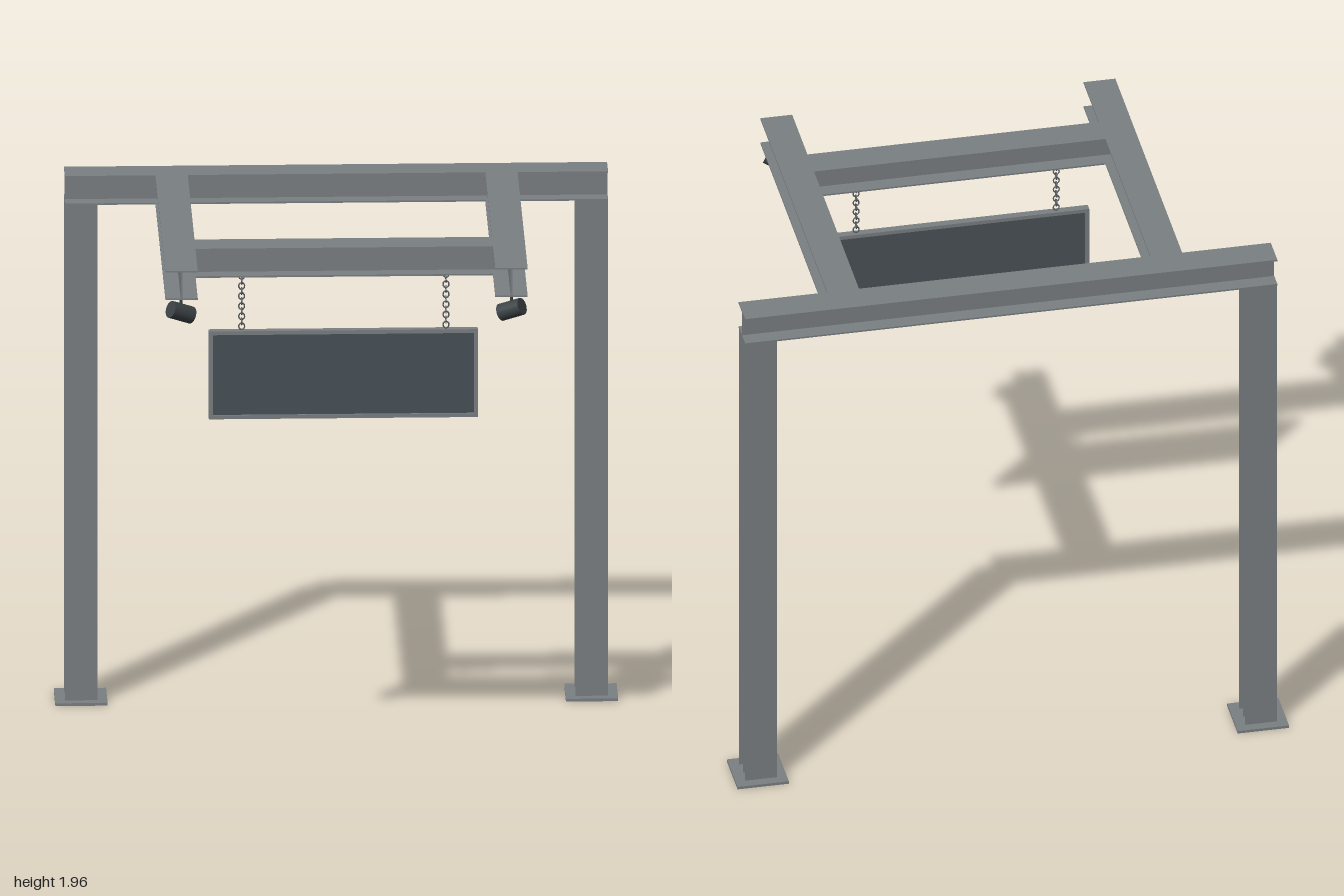
import * as THREE from 'three';

const mat = (name, color, side = THREE.FrontSide) => {
  const m = new THREE.MeshStandardMaterial({ color, side });
  m.name = name;
  return m;
};

export function createModel() {
  const steel = mat('grey steel', 0x7a7f83);
  const slate = mat('dark slate panel', 0x495157);
  const dark = mat('dark lamp metal', 0x3c4246);
  const chainMetal = mat('chain metal', 0x5c6165);
  const root = new THREE.Group();
  root.name = 'steelFrameWithSign';

  const group = (name, parent = root) => {
    const g = new THREE.Group();
    g.name = name;
    parent.add(g);
    return g;
  };
  const box = (parent, name, [w, h, d], [x, y, z], m = steel) => {
    const b = new THREE.Mesh(new THREE.BoxGeometry(w, h, d), m);
    b.name = name;
    b.position.set(x, y, z);
    parent.add(b);
    return b;
  };

  const W = 0.115, T = 0.006;          // flange width, plate thickness
  const BOTTOM = 1.848, TOP = 1.956;   // beam underside and top
  const MID = (BOTTOM + TOP) / 2, WEB = TOP - BOTTOM - 2 * T;
  const BACK = -0.573, CROSS = 0.33, FRONT = 0.655, SIDE_X = 0.586, COL_X = 0.907;

  // Beam along x: flanges of one length, web of another
  const beamX = (name, z, flangeLen, webLen) => {
    const g = group(name);
    box(g, 'topFlange', [flangeLen, T, W], [0, TOP - T / 2, z]);
    box(g, 'bottomFlange', [flangeLen, T, W], [0, BOTTOM + T / 2, z]);
    box(g, 'web', [webLen, WEB, T], [0, MID, z]);
  };
  beamX('backBeam', BACK, 1.93, 1.93);
  beamX('crossBeam', CROSS, 2 * SIDE_X - W, 2 * SIDE_X);

  for (const s of [1, -1]) {
    const side = s > 0 ? 'left' : 'right';

    // Cantilever beam running forward from the back beam
    const arm = group(side + 'SideBeam');
    const z0 = BACK + W / 2, len = FRONT - z0;
    for (const [n, y] of [['topFlange', TOP - T / 2], ['bottomFlange', BOTTOM + T / 2]])
      box(arm, n, [W, T, len], [s * SIDE_X, y, z0 + len / 2]);
    box(arm, 'web', [T, WEB, FRONT - BACK], [s * SIDE_X, MID, (FRONT + BACK) / 2]);

    // Column of three parallel plates on a base plate
    const column = group(side + 'Column');
    for (const [n, w, dz] of [['frontPlate', W, 0.0545], ['middlePlate', 0.108, 0], ['backPlate', W, -0.0545]])
      box(column, n, [w, BOTTOM, T], [s * COL_X, BOTTOM / 2, BACK + dz]);
    box(column, 'basePlate', [0.186, 0.01, 0.186], [s * COL_X, 0.005, BACK]);

    // Chain of alternating links
    const chain = group(side + 'Chain');
    const count = 11, y0 = 1.642, pitch = (BOTTOM - y0) / count;
    const linkGeo = new THREE.TorusGeometry(0.0105, 0.0025, 6, 14);
    linkGeo.scale(1, 1.15, 1);
    for (let i = 0; i < count; i++) {
      const link = new THREE.Mesh(linkGeo, chainMetal);
      link.name = 'chainLink';
      link.position.set(s * 0.363, y0 + (i + 0.5) * pitch, 0.335);
      link.rotation.y = i % 2 ? Math.PI / 2 : 0;
      chain.add(link);
    }

    // Spotlight aimed inward, down and back at the sign
    const lamp = group(side + 'Spotlight');
    const centre = new THREE.Vector3(s * 0.587, 1.792, 0.62);
    const aim = new THREE.Vector3(-s * 0.04, -0.018, -0.02).normalize();
    const body = new THREE.Mesh(new THREE.CylinderGeometry(0.031, 0.031, 0.09, 20), dark);
    body.name = 'lampBody';
    body.position.copy(centre);
    body.quaternion.setFromUnitVectors(new THREE.Vector3(0, 1, 0), aim);
    lamp.add(body);
    const stem = new THREE.Mesh(new THREE.CylinderGeometry(0.006, 0.006, 0.05, 10), dark);
    stem.name = 'lampStem';
    stem.position.set(s * 0.587, BOTTOM - 0.025, 0.62);
    lamp.add(stem);
  }

  // Hanging sign: rim extruded with a hole, and a recessed panel
  const sign = group('hangingSign');
  sign.position.set(-0.002, 1.474, 0.335);
  const rect = (Kind, w, h) => new Kind([[-w, -h], [w, -h], [w, h], [-w, h]]
    .map(([x, y]) => new THREE.Vector2(x / 2, y / 2)));
  const outline = rect(THREE.Shape, 0.956, 0.326);
  outline.holes.push(rect(THREE.Path, 0.928, 0.298));
  const rimGeo = new THREE.ExtrudeGeometry(outline, { depth: 0.028, bevelEnabled: false });
  rimGeo.translate(0, 0, -0.014);
  const rim = new THREE.Mesh(rimGeo, steel);
  rim.name = 'signRim';
  sign.add(rim);
  box(sign, 'signPanel', [0.93, 0.3, 0.014], [0, 0, 0], slate);

  return root;
}
